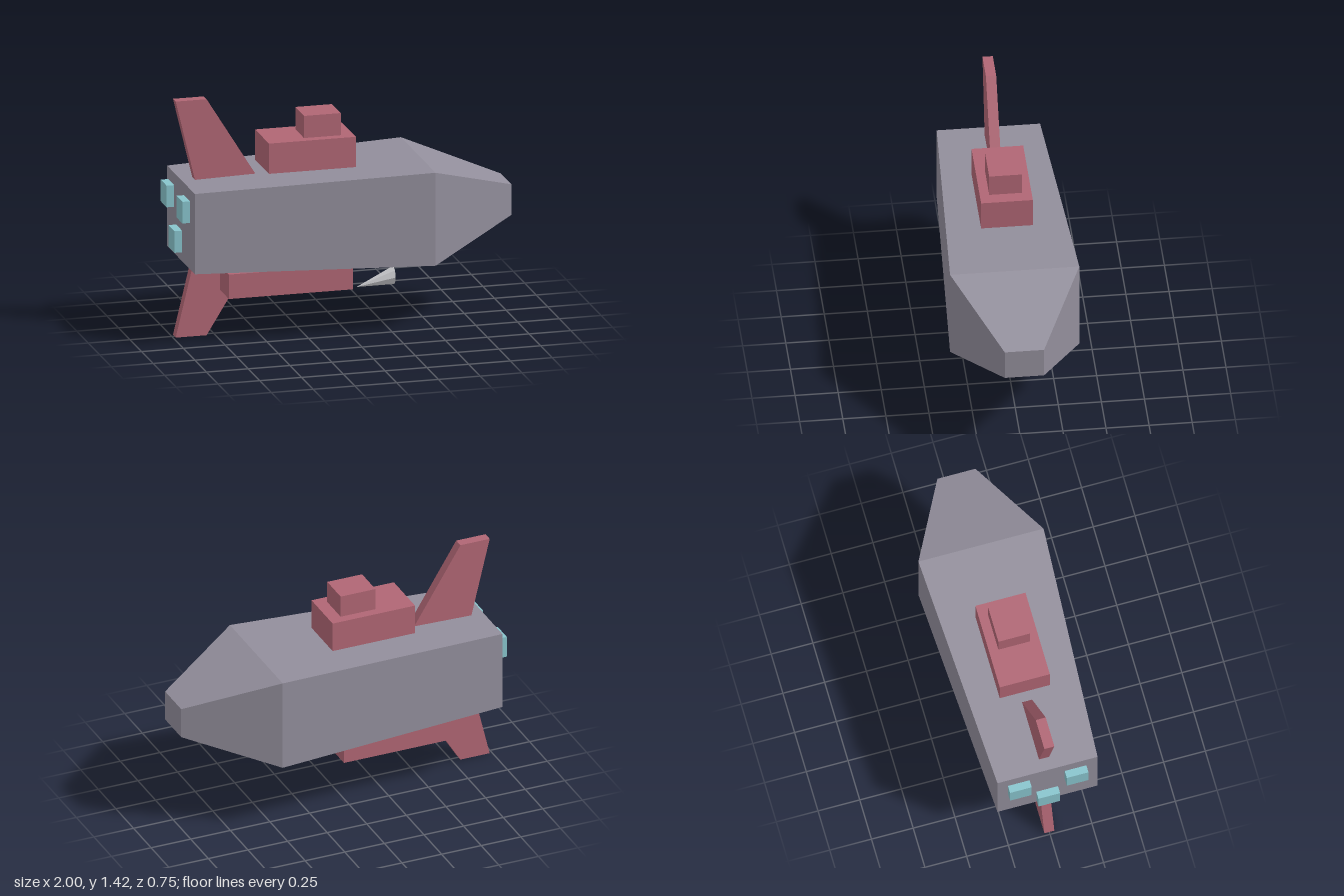
import * as THREE from 'three';

const material = (name, color) => {
  const m = new THREE.MeshStandardMaterial({ color, flatShading: true });
  m.name = name;
  return m;
};

export function createModel() {
  const group = new THREE.Group();
  const grey = material('hull grey', 0x928e9b);
  const red = material('dusty red', 0xb06674);
  const teal = material('engine teal', 0x88c4cc);
  const silver = material('cone silver', 0xc8c8cc);

  const add = (name, geometry, mat) => {
    const mesh = new THREE.Mesh(geometry, mat);
    mesh.name = name;
    group.add(mesh);
    return mesh;
  };

  // Box given by its extents along x and y, and its centre and width along z
  const block = (name, mat, x0, x1, y0, y1, width, z = 0) =>
    add(name, new THREE.BoxGeometry(x1 - x0, y1 - y0, width), mat)
      .position.set((x0 + x1) / 2, (y0 + y1) / 2, z);

  // Hull: rectangular sections from stern to nose [x, bottom, top, half width]
  const sections = [
    [-0.945, 0.455, 0.938, 0.3],
    [0.475, 0.416, 0.975, 0.375],
    [1, 0.605, 0.79, 0.114],
  ];
  const positions = [];
  const index = [];
  for (const [x, b, t, w] of sections) positions.push(x, b, w, x, b, -w, x, t, -w, x, t, w);
  for (let s = 0; s < sections.length - 1; s++) {
    for (let i = 0; i < 4; i++) {
      const a = s * 4 + i, b = s * 4 + (i + 1) % 4;
      index.push(a, b, b + 4, a, b + 4, a + 4);
    }
  }
  const n = (sections.length - 1) * 4;
  index.push(0, 2, 1, 0, 3, 2, n, n + 1, n + 2, n, n + 2, n + 3);
  const indexed = new THREE.BufferGeometry();
  indexed.setAttribute('position', new THREE.Float32BufferAttribute(positions, 3));
  indexed.setIndex(index);
  const hull = indexed.toNonIndexed();
  hull.computeVertexNormals();
  add('hull', hull, grey);

  // Superstructure and belly block
  block('bridgeDeck', red, -0.46, 0.06, 0.978, 1.16, 0.3);
  block('bridgeTower', red, -0.235, -0.015, 1.16, 1.293, 0.19);
  block('bellyBlock', red, -0.72, 0.022, 0.267, 0.414, 0.45);

  // Swept tail fins, mirrored above and below the hull
  const finProfile = [[-0.985, 1.42], [-0.86, 0.9], [-0.478, 0.9], [-0.8, 1.42]];
  for (const upper of [true, false]) {
    const points = finProfile.map(([x, y]) => new THREE.Vector2(x, upper ? y : 1.42 - y));
    const fin = new THREE.ExtrudeGeometry(new THREE.Shape(points), { depth: 0.06, bevelEnabled: false });
    fin.translate(0, 0, -0.03);
    add(upper ? 'upperFin' : 'lowerFin', fin, red);
  }

  // Three square engines, the middle one set lower
  for (const [z, y] of [[-0.175, 0.81], [-0.005, 0.585], [0.165, 0.81]]) {
    block('engine', teal, -1, -0.955, y - 0.065, y + 0.065, 0.13, z);
  }

  // Belly cones: discs face the nose, tips trail level with the lower rim
  for (const x of [-0.575, -0.052, 0.325]) {
    const cone = new THREE.ConeGeometry(0.055, 0.22, 8);
    cone.rotateZ(Math.PI / 2);
    const p = cone.attributes.position;
    for (let i = 0; i < p.count; i++) {
      p.setY(i, p.getY(i) - 0.055 * (0.11 - p.getX(i)) / 0.22);
    }
    cone.computeVertexNormals();
    add('bellyCone', cone, silver).position.set(x - 0.11, 0.265, 0);
  }

  return group;
}
